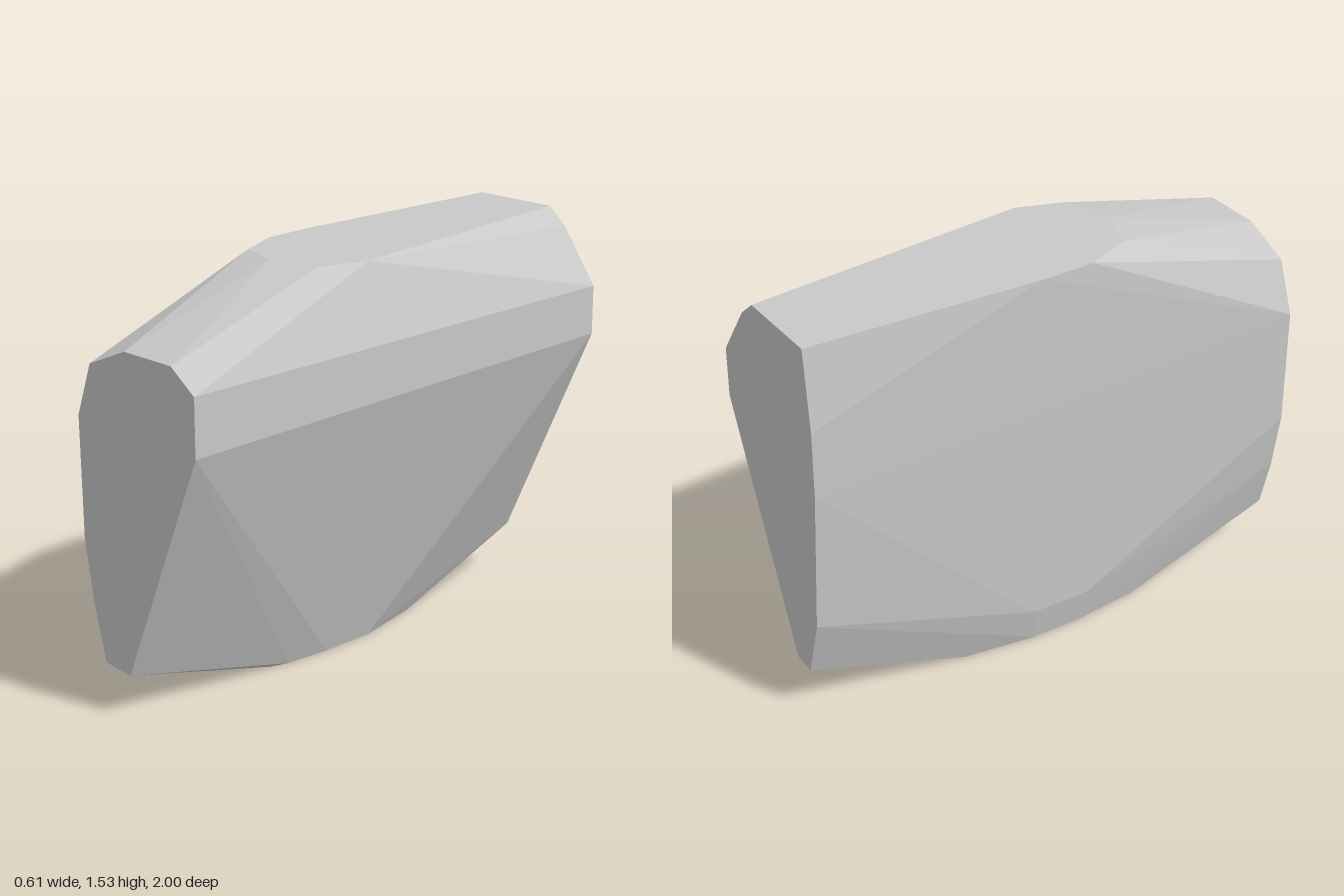
import * as THREE from 'three';
import { ConvexGeometry } from 'three/addons/geometries/ConvexGeometry.js';

export function createModel() {
  const stone = new THREE.MeshStandardMaterial({ color: 0xc8c8c8 });
  stone.name = 'pale stone grey';

  // Flat facets of the rock: outlines of its four cut planes
  const front = [ // x, y at z = 1
    [-0.302, 1.06], [-0.23, 1.257], [-0.045, 1.336], [0.19, 1.336], [0.302, 1.257], [0.302, 1.045],
    [-0.07, 0.165], [-0.2, 0.174], [-0.255, 0.38], [-0.295, 0.61],
  ];
  const back = [ // x, y at z = -1
    [-0.27, 1.53], [0.075, 1.53], [0.152, 1.466], [0.302, 1.257], [0.302, 1.07],
    [-0.1, 0.19], [-0.19, 0.185], [-0.26, 0.42], [-0.302, 0.98], [-0.302, 1.23],
  ];
  const top = [ // x, z at y = 1.53
    [0.2, 0.11], [0.14, 0.285], [-0.045, 0.35], [-0.22, 0.285], [-0.298, 0.11], [-0.304, -0.1],
  ];
  const bottom = [ // x, z at y = 0
    [-0.23, 0.36], [-0.055, 0.36], [-0.03, 0.29], [-0.013, 0.11], [-0.013, -0.11],
    [-0.07, -0.38], [-0.22, -0.38], [-0.258, -0.1], [-0.258, 0.1],
  ];
  // Lower bulge of the broad side: x, y, z
  const side = [[-0.286, 0.14, 0.12], [-0.286, 0.14, -0.12]];

  const points = [
    ...front.map(([x, y]) => new THREE.Vector3(x, y, 1)),
    ...back.map(([x, y]) => new THREE.Vector3(x, y, -1)),
    ...top.map(([x, z]) => new THREE.Vector3(x, 1.53, z)),
    ...bottom.map(([x, z]) => new THREE.Vector3(x, 0, z)),
    ...side.map((p) => new THREE.Vector3(...p)),
  ];

  const rock = new THREE.Mesh(new ConvexGeometry(points), stone);
  rock.name = 'rock';
  const group = new THREE.Group();
  group.name = 'facetedRock';
  group.add(rock);
  return group;
}
